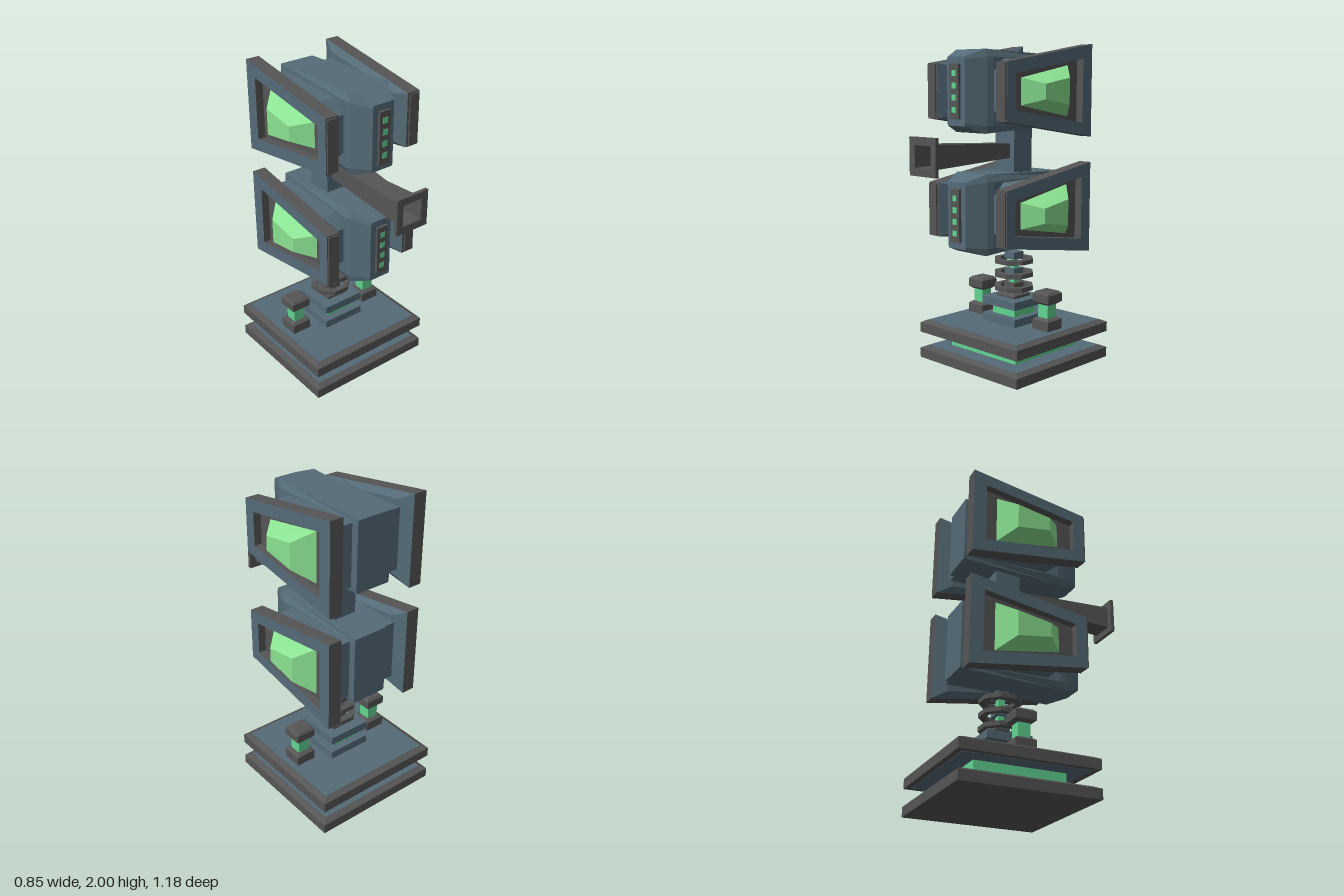
import * as THREE from 'three';

const mat = (color) => new THREE.MeshStandardMaterial({ color, flatShading: true, side: THREE.DoubleSide });
const blue = mat(0x546b77), dark = mat(0x555555), green = mat(0x62d592), glass = mat(0x8ae291);

const Z0 = -0.165; // centre line of the base and the spring

function add(parent, name, geometry, material, x = 0, y = 0, z = 0) {
  const mesh = new THREE.Mesh(geometry, material);
  mesh.name = name;
  mesh.position.set(x, y, z);
  parent.add(mesh);
  return mesh;
}

// Box given by its bottom and top heights
function block(parent, name, material, w, d, y0, y1, x = 0, z = Z0) {
  return add(parent, name, new THREE.BoxGeometry(w, y1 - y0, d), material, x, (y0 + y1) / 2, z);
}

// Skin over cross-sections, each a loop of [x, y, z] points
function loft(rings, capStart = true, capEnd = true) {
  const pos = [];
  const n = rings[0].length;
  const tri = (a, b, c) => pos.push(...a, ...b, ...c);
  for (let r = 0; r < rings.length - 1; r++) {
    const a = rings[r], b = rings[r + 1];
    for (let i = 0; i < n; i++) {
      const j = (i + 1) % n;
      tri(a[i], a[j], b[j]);
      tri(a[i], b[j], b[i]);
    }
  }
  const first = rings[0], last = rings[rings.length - 1];
  for (let i = 1; i < n - 1; i++) {
    if (capStart) tri(first[0], first[i + 1], first[i]);
    if (capEnd) tri(last[0], last[i], last[i + 1]);
  }
  const g = new THREE.BufferGeometry();
  g.setAttribute('position', new THREE.Float32BufferAttribute(pos, 3));
  g.computeVertexNormals();
  return g;
}

// Loops: square across y, square across z, trapezoid across x, octagon across z
const squareY = (y, h) => [[-h, y, h], [h, y, h], [h, y, -h], [-h, y, -h]];
const squareZ = (z, h) => [[-h, -h, z], [h, -h, z], [h, h, z], [-h, h, z]];
const trapX = (x, zf, hf, zb, hb) => [[x, hb, zb], [x, hf, zf], [x, -hf, zf], [x, -hb, zb]];
const octZ = (z, xt, yt, xm, ym) => [
  [xt, -yt, z], [xm, -ym, z], [xm, ym, z], [xt, yt, z],
  [-xt, yt, z], [-xm, ym, z], [-xm, -ym, z], [-xt, -yt, z],
];

function polygonShape(points, hole) {
  const shape = new THREE.Shape(points.map((p) => new THREE.Vector2(...p)));
  if (hole) shape.holes.push(new THREE.Path(hole.map((p) => new THREE.Vector2(...p))));
  return shape;
}
const extrude = (shape, depth) => new THREE.ExtrudeGeometry(shape, { depth, bevelEnabled: false });

function makeBase() {
  const base = new THREE.Group();
  base.name = 'base';
  // Two bevelled slabs with coloured inlays, joined by a glowing core
  for (const y of [0, 0.17]) {
    add(base, 'slab', loft([squareY(y, 0.427), squareY(y + 0.062, 0.427), squareY(y + 0.078, 0.395)]), dark, 0, 0, Z0);
    block(base, 'slabTop', blue, 0.78, 0.78, y + 0.07, y + 0.08);
  }
  block(base, 'slabUnderside', blue, 0.78, 0.78, 0.168, 0.175);
  block(base, 'glowingCore', green, 0.566, 0.566, 0.075, 0.175);

  // Side posts
  for (const x of [-0.285, 0.285]) {
    add(base, 'postFoot', loft([squareY(0.25, 0.065), squareY(0.31, 0.065), squareY(0.324, 0.045)]), dark, x, 0, Z0);
    block(base, 'postGlow', green, 0.078, 0.078, 0.32, 0.42, x);
    add(base, 'postCap', loft([squareY(0.41, 0.045), squareY(0.425, 0.065), squareY(0.475, 0.065), squareY(0.49, 0.05)]), dark, x, 0, Z0);
  }

  // Stepped pedestal
  block(base, 'pedestalBottom', blue, 0.286, 0.286, 0.25, 0.3);
  block(base, 'pedestalGlow', green, 0.19, 0.19, 0.3, 0.36);
  block(base, 'pedestalTop', blue, 0.286, 0.286, 0.36, 0.41);
  add(base, 'pedestalCap', loft([squareY(0.41, 0.075), squareY(0.425, 0.075), squareY(0.44, 0.05)]), dark, 0, 0, Z0);

  // Column with floating octagonal rings
  block(base, 'column', green, 0.042, 0.042, 0.43, 0.67);
  block(base, 'columnCollar', dark, 0.09, 0.09, 0.455, 0.5);
  block(base, 'columnCollar', blue, 0.085, 0.085, 0.55, 0.595);
  block(base, 'columnCollar', blue, 0.085, 0.085, 0.655, 0.7);
  const octagon = (r) => Array.from({ length: 8 }, (_, i) => {
    const a = (i + 0.5) * Math.PI / 4;
    return [r * Math.cos(a), r * Math.sin(a)];
  });
  const ring = extrude(polygonShape(octagon(0.13), octagon(0.09)), 0.028).rotateX(-Math.PI / 2);
  for (const y of [0.456, 0.543, 0.63]) add(base, 'ring', ring, dark, 0, y, Z0);
  return base;
}

// One side of a pod: arm, panel and crystal, built on the +x side
function makeWing() {
  const wing = new THREE.Group();
  wing.name = 'wing';
  const arm = [[-0.43, -0.19], [0.08, -0.19], [0.165, -0.115], [0.165, 0.115], [0.08, 0.19], [-0.43, 0.19]];
  add(wing, 'arm', extrude(polygonShape(arm), 0.15).rotateY(-Math.PI / 2), blue, 0.25);

  const rim = (x) => trapX(x, 0.25, 0.168, -0.51, 0.285);
  const opening = (x) => trapX(x, 0.177, 0.105, -0.425, 0.195);
  add(wing, 'panelBack', loft([trapX(0.218, 0.17, 0.15, -0.42, 0.235), rim(0.248)], true, false), blue);
  add(wing, 'panelRim', loft([rim(0.248), rim(0.335)], false, false), dark);
  add(wing, 'panelNose', loft([trapX(0.262, 0.26, 0.16, 0.2, 0.16), trapX(0.328, 0.26, 0.16, 0.2, 0.16)]), dark);
  add(wing, 'panelFrame', loft([rim(0.335), opening(0.335)], false, false), blue);
  add(wing, 'panelRecess', loft([opening(0.335), opening(0.285)], false, true), dark);
  add(wing, 'crystal', loft([
    trapX(0.285, 0.083, 0.08, -0.335, 0.155),
    trapX(0.387, -0.02, 0.045, -0.235, 0.08),
  ], false, true), glass);
  return wing;
}

function makePod(name) {
  const pod = new THREE.Group();
  pod.name = name;
  add(pod, 'body', loft([
    octZ(-0.475, 0.115, 0.218, 0.118, 0.19),
    octZ(0.165, 0.125, 0.243, 0.147, 0.2),
    octZ(0.21, 0.125, 0.245, 0.138, 0.2),
    octZ(0.33, 0.07, 0.2, 0.075, 0.185),
  ]), blue);

  // Row of lights in a front strip
  block(pod, 'lightStrip', dark, 0.076, 0.03, -0.16, 0.16, 0, 0.332);
  for (let i = 0; i < 4; i++) {
    const y = -0.105 + i * 0.07;
    block(pod, 'light', green, 0.034, 0.02, y - 0.017, y + 0.017, 0, 0.34);
  }

  const left = makeWing();
  const right = makeWing();
  right.scale.x = -1;
  pod.add(left, right);
  return pod;
}

// Hollow square barrel that flares to a flanged muzzle
function makeBarrel() {
  const barrel = new THREE.Group();
  barrel.name = 'barrel';
  barrel.position.y = 1.35;
  add(barrel, 'barrelTube', loft([
    squareZ(-0.08, 0.045), squareZ(0.59, 0.073), squareZ(0.59, 0.066), squareZ(-0.079, 0.038),
  ], false, false), dark);
  const square = (h) => [[-h, -h], [h, -h], [h, h], [-h, h]];
  add(barrel, 'muzzleFlange', extrude(polygonShape(square(0.112), square(0.07)), 0.023), dark, 0, 0, 0.57);
  return barrel;
}

export function createModel() {
  const model = new THREE.Group();
  model.name = 'turret';
  model.add(makeBase());
  const lower = makePod('lowerPod');
  lower.position.y = 0.985;
  const upper = makePod('upperPod');
  upper.position.y = 1.715;
  model.add(lower, upper, makeBarrel());
  block(model, 'neck', blue, 0.16, 0.16, 1.2, 1.5, 0, -0.16);
  return model;
}
